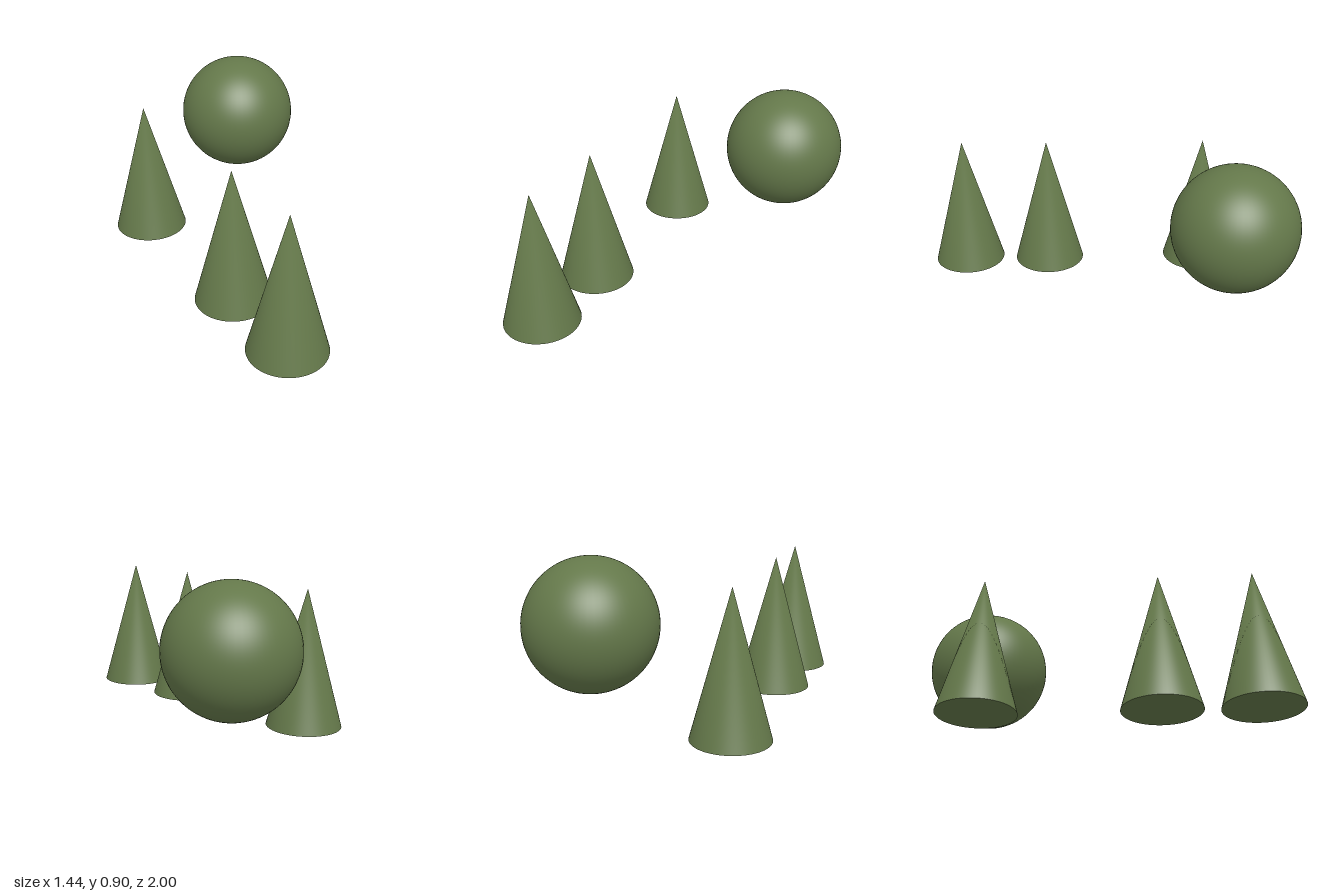
import * as THREE from 'three';

const CONE_HEIGHT = 0.775;
const CONE_RADIUS = 0.211;

// Smooth cone standing on y = 0, its tip shaded as rounded
function coneGeometry() {
  const geometry = new THREE.ConeGeometry(CONE_RADIUS, CONE_HEIGHT, 64);
  geometry.translate(0, CONE_HEIGHT / 2, 0);
  const { position, normal } = geometry.attributes;
  for (let i = 0; i < position.count; i++) {
    if (position.getY(i) > CONE_HEIGHT - 0.001) normal.setXYZ(i, 0, 1, 0);
  }
  return geometry;
}

export function createModel() {
  const model = new THREE.Group();
  model.name = 'foliage';
  const leafGreen = new THREE.MeshStandardMaterial({ color: 0x64784a });
  leafGreen.name = 'leaf green';

  // Three conical trees in a loose row
  const cone = coneGeometry();
  const trees = [
    ['frontConeTree', -0.508, 0.789],
    ['middleConeTree', -0.443, 0.29],
    ['backConeTree', -0.341, -0.643],
  ];
  for (const [name, x, z] of trees) {
    const tree = new THREE.Mesh(cone, leafGreen);
    tree.name = name;
    tree.position.set(x, 0, z);
    model.add(tree);
  }

  // Round crown floating above the ground
  const crown = new THREE.Mesh(new THREE.SphereGeometry(0.347, 64, 48), leafGreen);
  crown.name = 'roundCrown';
  crown.position.set(0.37, 0.554, -0.653);
  model.add(crown);

  return model;
}
